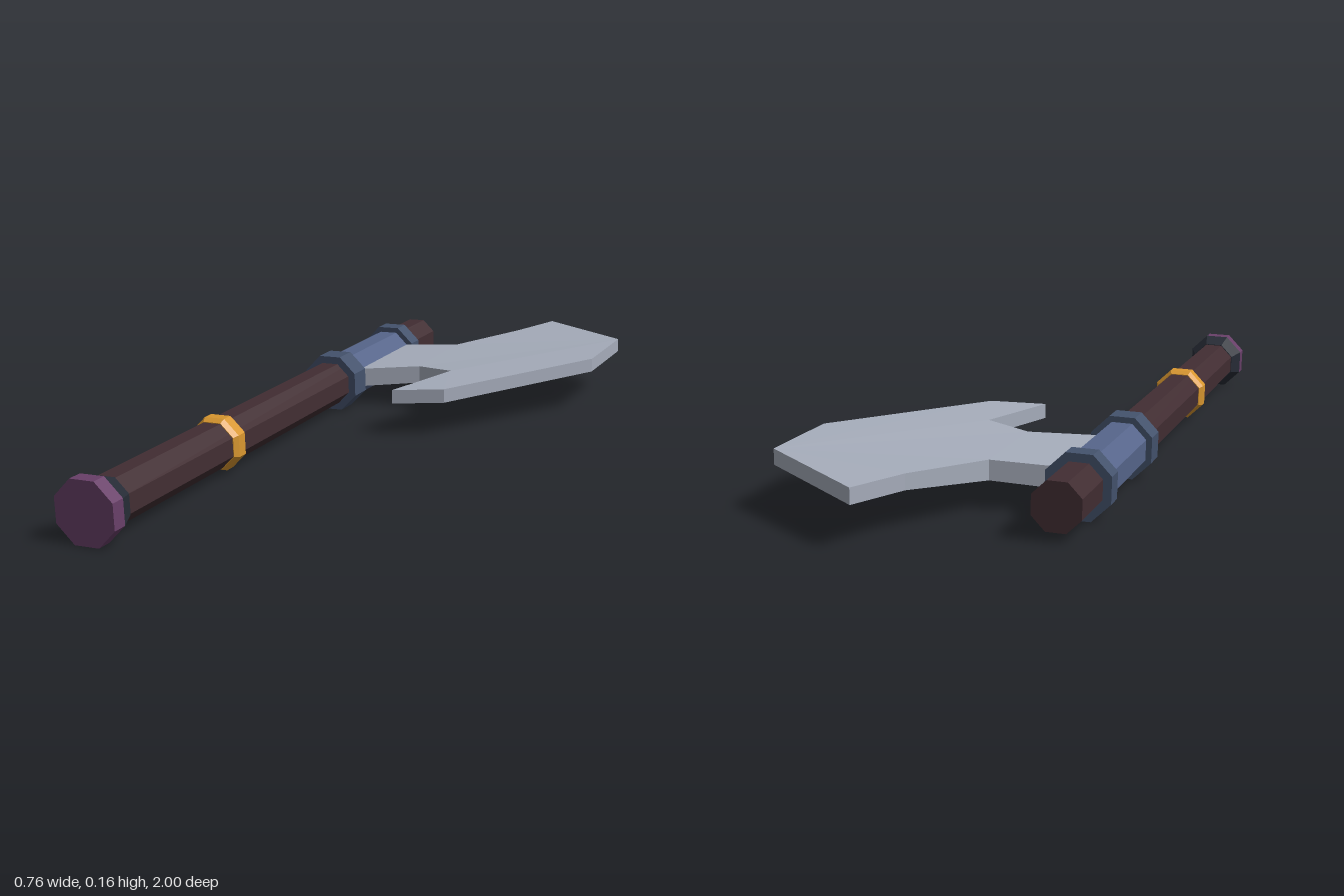
import * as THREE from 'three';

const mat = (name, color) => {
  const m = new THREE.MeshStandardMaterial({ color });
  m.name = name;
  return m;
};

// Piecewise-linear lookup in a list of [x, value] pairs
function lookup(table, x) {
  for (let i = 1; i < table.length; i++) {
    const [x0, v0] = table[i - 1], [x1, v1] = table[i];
    if (x <= x1 || i === table.length - 1) return v0 + (v1 - v0) * (x - x0) / (x1 - x0);
  }
}

// Unshared corners give hard facets
function faceted(geometry) {
  const g = geometry.index ? geometry.toNonIndexed() : geometry;
  g.computeVertexNormals();
  return g;
}

export function createModel() {
  const axe = new THREE.Group();
  axe.name = 'axe';
  const wood = mat('dark wood', 0x412d32);
  const iron = mat('black iron', 0x272c36);
  const purple = mat('purple', 0x683f68);
  const gold = mat('gold', 0xd8962f);
  const collarBlue = mat('collar blue', 0x44526c);
  const sleeveBlue = mat('sleeve blue', 0x56658a);
  const steel = mat('steel', 0xa5acba);

  // Octagonal parts turned about the shaft axis; profile is [radius, z]
  const shaft = new THREE.Group();
  shaft.name = 'shaft';
  shaft.position.set(-0.304, 0.081, 0);
  shaft.rotation.z = THREE.MathUtils.degToRad(24.2);
  axe.add(shaft);
  function turned(name, material, profile) {
    const closed = [[0, profile[0][1]], ...profile, [0, profile[profile.length - 1][1]]];
    const g = new THREE.LatheGeometry(closed.map(([r, z]) => new THREE.Vector2(r, z)), 8);
    g.rotateX(Math.PI / 2);
    const mesh = new THREE.Mesh(faceted(g), material);
    mesh.name = name;
    shaft.add(mesh);
  }
  turned('handle', wood, [[0.062, -0.83], [0.062, 0.95]]);
  turned('pommelNeck', iron, [[0.064, 0.91], [0.084, 0.96]]);
  turned('pommelCap', purple, [[0.084, 0.96], [0.084, 1.0]]);
  turned('gripRing', gold, [[0.064, 0.394], [0.073, 0.408], [0.073, 0.438], [0.064, 0.452]]);
  turned('headSleeve', sleeveBlue, [[0.068, -0.63], [0.068, -0.24]]);
  turned('lowerCollar', collarBlue, [[0.084, -0.275], [0.084, -0.205]]);
  turned('upperCollar', collarBlue, [[0.084, -0.662], [0.084, -0.61]]);

  // Blade: flat outline in x and z, then lifted and thinned towards the edge
  const outline = [
    [-0.3, -0.6], [-0.24, -0.61], [-0.085, -0.635], [0.035, -0.845], [0.097, -1.0],
    [0.378, -0.79], [0.378, -0.525], [0.097, -0.09], [-0.04, -0.05],
    [0.033, -0.293], [-0.085, -0.342], [-0.24, -0.285], [-0.3, -0.27],
  ];
  const shape = new THREE.Shape(outline.map(([x, z]) => new THREE.Vector2(x, -z)));
  const g = new THREE.ExtrudeGeometry(shape, { depth: 1, bevelEnabled: false });
  g.rotateX(-Math.PI / 2);
  const middle = [[-0.3, 0.08], [-0.24, 0.085], [-0.085, 0.097], [-0.04, 0.109], [0.097, 0.117], [0.378, 0.131]];
  const thickness = [[-0.3, 0.054], [-0.24, 0.052], [-0.085, 0.049], [-0.04, 0.038], [0.378, 0.038]];
  const p = g.attributes.position;
  for (let i = 0; i < p.count; i++) {
    const x = p.getX(i);
    p.setY(i, lookup(middle, x) + (p.getY(i) - 0.5) * lookup(thickness, x));
  }
  const blade = new THREE.Mesh(faceted(g), steel);
  blade.name = 'blade';
  axe.add(blade);

  return axe;
}
